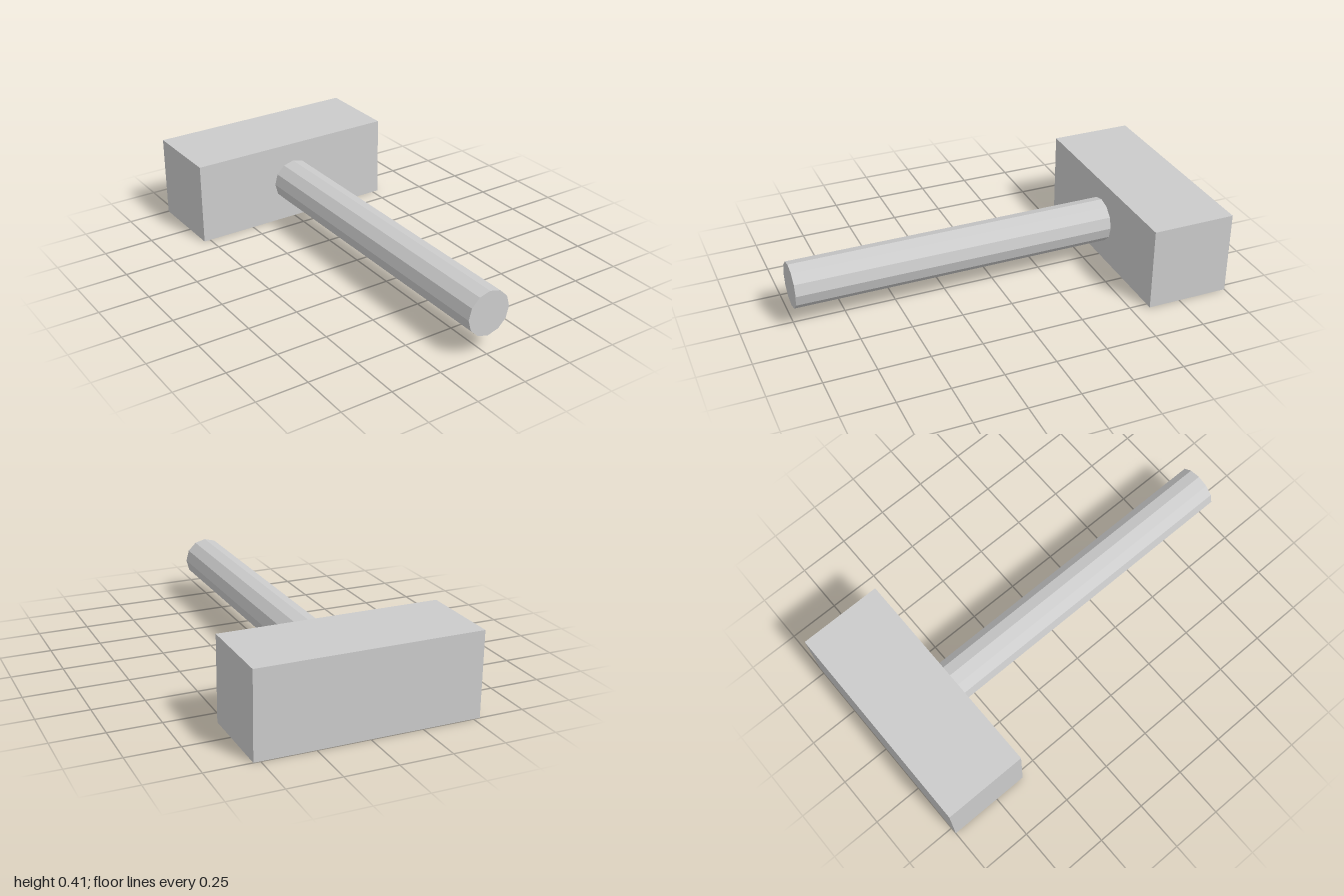
import * as THREE from 'three';

export function createModel() {
  const group = new THREE.Group();
  group.name = 'mallet';
  const material = new THREE.MeshStandardMaterial({ color: 0xcccccc, flatShading: true });

  const headWidth = 1.064, headSize = 0.41, handleRadius = 0.11;
  const headFront = -1 + headSize;
  const handleLength = 1 - headFront;

  // Block head, resting on the ground at the back
  const head = new THREE.Mesh(new THREE.BoxGeometry(headWidth, headSize, headSize), material);
  head.name = 'head';
  head.position.set(0, headSize / 2, -1 + headSize / 2);
  group.add(head);

  // Twelve-sided handle running forward from the head
  const handle = new THREE.Mesh(
    new THREE.CylinderGeometry(handleRadius, handleRadius, handleLength, 12).rotateX(Math.PI / 2),
    material
  );
  handle.name = 'handle';
  handle.position.set(0, headSize / 2, headFront + handleLength / 2);
  group.add(handle);

  return group;
}
